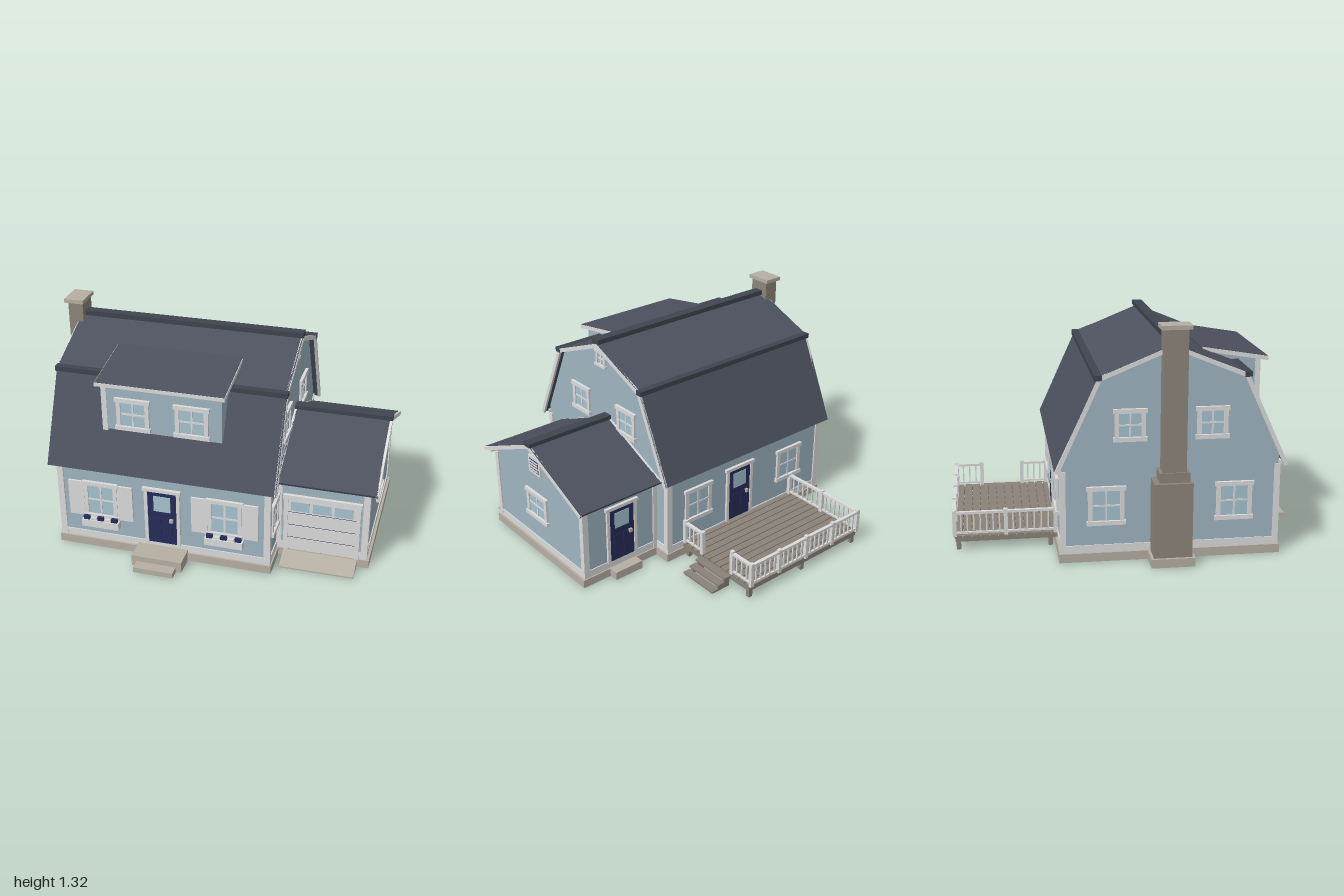
import * as THREE from 'three';

const mat = (name, color) => {
  const m = new THREE.MeshStandardMaterial({ color });
  m.name = name;
  return m;
};
const siding = mat('blue siding', 0x9fb6c2), trim = mat('white trim', 0xdcdcdc), roofing = mat('slate roof', 0x4d515e),
  capping = mat('dark ridge', 0x3f444f), navy = mat('navy paint', 0x262d59), glass = mat('window glass', 0xa6c3d0),
  stone = mat('pale stone', 0xb6afa3), brick = mat('chimney stone', 0x8c857a), wood = mat('deck wood', 0x8b8379);

// box from its limits
function box(parent, name, m, x0, x1, y0, y1, z0, z1) {
  const mesh = new THREE.Mesh(new THREE.BoxGeometry(x1 - x0, y1 - y0, z1 - z0), m);
  mesh.position.set((x0 + x1) / 2, (y0 + y1) / 2, (z0 + z1) / 2);
  mesh.name = name;
  parent.add(mesh);
  return mesh;
}
// prism with a [z, y] outline running along x
function prism(parent, name, m, pts, x0, x1) {
  const shape = new THREE.Shape(pts.map(p => new THREE.Vector2(p[0], p[1])));
  const geo = new THREE.ExtrudeGeometry(shape, { depth: x1 - x0, bevelEnabled: false });
  geo.rotateY(-Math.PI / 2).translate(x1, 0, 0);
  const mesh = new THREE.Mesh(geo, m);
  mesh.name = name;
  parent.add(mesh);
}
// polyline moved inward (downward) by t with mitred corners; points run from back to front
function inset(pts, t) {
  const normal = (a, b) => new THREE.Vector2(b[1] - a[1], a[0] - b[0]).normalize();
  return pts.map((p, i) => {
    const n1 = normal(pts[Math.max(i - 1, 0)], pts[Math.max(i, 1)]);
    const n2 = normal(pts[Math.min(i, pts.length - 2)], pts[Math.min(i + 1, pts.length - 1)]);
    const n = n1.clone().add(n2);
    n.multiplyScalar(t / (1 + n1.dot(n2)));
    return [p[0] + n.x, p[1] + n.y];
  });
}
// roof skin with white rake boards on both ends
function roof(parent, name, pts, x0, x1) {
  const band = t => [...pts, ...inset(pts, t).reverse()];
  prism(parent, name, roofing, band(0.016), x0, x1);
  for (const [a, b] of [[x0 - 0.003, x0 + 0.012], [x1 - 0.012, x1 + 0.003]])
    prism(parent, name + 'RakeBoard', trim, band(0.024), a, b);
}
// wall fitting group, built facing +z
function fitting(parent, name, x, y, z, turn = 0) {
  const g = new THREE.Group();
  g.name = name;
  g.position.set(x, y, z);
  g.rotation.y = turn;
  parent.add(g);
  return g;
}
function casing(g, w, h, f, d) {
  for (const s of [-1, 1]) box(g, 'sideCasing', trim, s * (w - f) / 2 - f / 2, s * (w - f) / 2 + f / 2, -h / 2, h / 2, 0, d);
  box(g, 'headCasing', trim, -w / 2 - 0.008, w / 2 + 0.008, h / 2 - f, h / 2, 0, d + 0.005);
}
function windowUnit(parent, x, y, z, w, h, turn = 0) {
  const g = fitting(parent, 'window', x, y, z, turn), f = w > 0.12 ? 0.024 : 0.015;
  box(g, 'glass', glass, -w / 2 + f, w / 2 - f, -h / 2 + f, h / 2 - f, 0, 0.005);
  casing(g, w, h, f, 0.013);
  box(g, 'sill', trim, -w / 2 - 0.008, w / 2 + 0.008, -h / 2, -h / 2 + f, 0, 0.02);
  box(g, 'uprightBar', trim, -0.005, 0.005, -h / 2 + f, h / 2 - f, 0, 0.009);
  box(g, 'crossBar', trim, -w / 2 + f, w / 2 - f, -0.005, 0.005, 0, 0.009);
  return g;
}
function doorUnit(parent, x, z, turn = 0) {
  const g = fitting(parent, 'door', x, 0.28, z, turn);
  box(g, 'doorLeaf', navy, -0.088, 0.088, -0.18, 0.165, 0, 0.008);
  box(g, 'doorGlass', glass, -0.05, 0.05, 0.035, 0.135, 0, 0.012);
  for (const s of [-1, 1]) box(g, 'doorPanel', navy, s * 0.035 - 0.025, s * 0.035 + 0.025, -0.15, -0.01, 0, 0.012);
  box(g, 'knob', stone, 0.045, 0.065, -0.025, -0.005, 0, 0.025);
  const c = fitting(g, 'doorCasing', 0, 0, 0);
  casing(c, 0.212, 0.37, 0.02, 0.014);
}

export function createModel() {
  const house = new THREE.Group();
  house.name = 'house';
  const R = Math.PI / 2;

  // foundations
  box(house, 'mainFoundation', stone, -0.855, 0.425, 0.01, 0.06, -0.42, 0.815);
  box(house, 'garageFoundation', stone, 0.42, 0.953, 0.01, 0.06, -0.315, 0.62);

  // main house and garage bodies
  const gambrel = [[-0.443, 0.54], [-0.207, 1.055], [0.197, 1.22], [0.6, 1.055], [0.836, 0.54]];
  const gable = [[-0.358, 0.53], [0.155, 0.757], [0.668, 0.53]];
  const g = inset(gambrel, 0.014), k = inset(gable, 0.014);
  prism(house, 'mainWalls', siding, [[-0.405, 0.06], [-0.405, 0.585], g[1], g[2], g[3], [0.798, 0.585], [0.798, 0.06]], -0.84, 0.41);
  prism(house, 'garageWalls', siding, [[-0.3, 0.06], [-0.3, 0.54], k[1], [0.607, 0.54], [0.607, 0.06]], 0.4, 0.933);
  roof(house, 'mainRoof', gambrel, -0.888, 0.452);
  roof(house, 'garageRoof', gable, 0.412, 0.982);

  // dark caps along ridges and roof breaks
  box(house, 'mainRidgeCap', capping, -0.89, 0.457, 1.222, 1.25, 0.167, 0.227);
  for (const z of [-0.207, 0.6]) box(house, 'roofBreakCap', capping, -0.892, 0.457, 1.036, 1.064, z - 0.021, z + 0.021);
  box(house, 'garageRidgeCap', capping, 0.412, 0.987, 0.745, 0.77, 0.125, 0.185);

  // base boards, corner boards and friezes
  const skirt = (x0, x1, z0, z1, top) => {
    box(house, 'baseBoard', trim, x0 - 0.006, x1 + 0.006, 0.06, 0.103, z0 - 0.006, z1 + 0.006);
    for (const x of [x0, x1]) for (const z of [z0, z1]) {
      const sx = x === x0 ? 1 : -1, sz = z === z0 ? 1 : -1;
      box(house, 'cornerBoard', trim, x + sx * 0.011 - 0.0185, x + sx * 0.011 + 0.0185, 0.06, top,
        z + sz * 0.008 - 0.0165, z + sz * 0.008 + 0.0165);
    }
  };
  skirt(-0.84, 0.41, -0.405, 0.798, 0.53);
  skirt(0.41, 0.933, -0.3, 0.607, 0.51);
  for (const [z0, z1] of [[-0.418, -0.404], [0.797, 0.812]]) box(house, 'mainFrieze', trim, -0.85, 0.42, 0.53, 0.55, z0, z1);
  for (const [z0, z1] of [[-0.345, -0.299], [0.606, 0.655]]) box(house, 'garageSoffit', trim, 0.415, 0.97, 0.512, 0.532, z0, z1);

  // front dormer
  prism(house, 'dormerWalls', siding, [[0.5, 0.78], [0.42, 1.125], [0.745, 1.062], [0.745, 0.78]], -0.565, 0.125);
  prism(house, 'dormerRoof', roofing, [[0.4, 1.13], [0.4, 1.146], [0.787, 1.082], [0.787, 1.066]], -0.585, 0.15);
  for (const [a, b] of [[-0.588, -0.573], [0.138, 0.153]])
    prism(house, 'dormerRakeBoard', trim, [[0.41, 1.118], [0.41, 1.142], [0.787, 1.08], [0.787, 1.056]], a, b);
  box(house, 'dormerFascia', trim, -0.588, 0.153, 1.06, 1.081, 0.778, 0.79);
  box(house, 'dormerCornerBoard', trim, -0.568, -0.537, 0.77, 1.062, 0.72, 0.75);
  for (const x of [-0.385, -0.045]) windowUnit(house, x, 0.888, 0.745, 0.19, 0.195);

  // front windows with shutters and flower boxes
  for (const x of [-0.587, 0.153]) {
    windowUnit(house, x, 0.33, 0.798, 0.2, 0.24);
    for (const s of [-1, 1]) box(house, 'shutter', trim, x + s * 0.148 - 0.047, x + s * 0.148 + 0.047, 0.215, 0.442, 0.798, 0.81);
    box(house, 'flowerBox', trim, x - 0.112, x + 0.112, 0.16, 0.205, 0.798, 0.842);
    for (let i = 0; i < 5; i++) {
      const fx = x + (i - 2) * 0.042;
      box(house, 'flowers', i % 2 ? trim : navy, fx - 0.018, fx + 0.018, 0.2, i % 2 ? 0.218 : 0.228, 0.808, 0.836);
    }
  }

  // gable windows
  for (const z of [0.42, -0.03]) {
    windowUnit(house, 0.41, 0.78, z, 0.17, 0.18, R);
    windowUnit(house, -0.84, 0.78, z, 0.17, 0.18, -R);
  }
  windowUnit(house, 0.41, 1.115, 0.2, 0.09, 0.1, R);
  windowUnit(house, 0.41, 0.328, 0.685, 0.15, 0.205, R);
  for (const z of [-0.16, 0.55]) windowUnit(house, -0.84, 0.33, z, 0.2, 0.22, -R);
  windowUnit(house, 0.933, 0.328, 0.16, 0.21, 0.18, R);

  // louvred garage vent
  const vent = fitting(house, 'garageVent', 0.933, 0.6, 0.16, R);
  box(vent, 'ventFrame', trim, -0.06, 0.06, -0.055, 0.055, 0, 0.01);
  box(vent, 'ventOpening', navy, -0.043, 0.043, -0.038, 0.038, 0, 0.012);
  for (let i = 0; i < 4; i++) box(vent, 'louvre', trim, -0.043, 0.043, -0.031 + i * 0.018, -0.022 + i * 0.018, 0, 0.016);

  // doors and back windows
  doorUnit(house, -0.215, 0.798);
  doorUnit(house, -0.15, -0.405, Math.PI);
  doorUnit(house, 0.67, -0.3, Math.PI);
  for (const x of [-0.57, 0.18]) windowUnit(house, x, 0.33, -0.405, 0.2, 0.22, Math.PI);

  // garage door and ramp
  const gd = fitting(house, 'garageDoor', 0.672, 0, 0.607);
  box(gd, 'doorSeams', navy, -0.2, 0.2, 0.06, 0.403, 0, 0.008);
  for (let i = 0; i < 4; i++) box(gd, 'doorSection', trim, -0.197, 0.197, 0.063 + i * 0.085, 0.142 + i * 0.085, 0, 0.012);
  for (const x of [-0.125, 0, 0.125]) box(gd, 'doorPane', glass, x - 0.053, x + 0.053, 0.329, 0.388, 0, 0.016);
  for (const s of [-1, 1]) box(gd, 'doorCasing', trim, s * 0.208 - 0.012, s * 0.208 + 0.012, 0.06, 0.41, 0, 0.016);
  box(gd, 'doorHeader', trim, -0.226, 0.226, 0.403, 0.43, 0, 0.02);
  prism(house, 'ramp', stone, [[0.61, 0.01], [0.61, 0.06], [0.74, 0.018], [0.74, 0.01]], 0.455, 0.885);

  // stone steps
  box(house, 'frontStepUpper', stone, -0.365, -0.067, 0.01, 0.077, 0.8, 0.937);
  box(house, 'frontStepLower', stone, -0.335, -0.1, 0.01, 0.042, 0.9, 1.0);
  box(house, 'backStep', stone, -0.27, -0.03, 0.01, 0.06, -0.49, -0.41);
  box(house, 'garageBackStep', stone, 0.575, 0.765, 0.01, 0.06, -0.37, -0.3);

  // chimney
  box(house, 'chimneyPlinth', stone, -0.99, -0.84, 0.01, 0.06, 0.07, 0.31);
  box(house, 'chimneyBase', brick, -0.975, -0.83, 0.06, 0.48, 0.085, 0.295);
  box(house, 'chimneyShoulder', brick, -0.952, -0.83, 0.48, 0.535, 0.115, 0.28);
  box(house, 'chimneyStack', brick, -0.945, -0.855, 0.535, 1.312, 0.133, 0.262);
  box(house, 'chimneyCap', stone, -0.962, -0.845, 1.31, 1.333, 0.115, 0.28);

  // deck floor and frame
  const deck = fitting(house, 'deck', 0, 0, 0);
  for (let i = 0; i < 12; i++) box(deck, 'plank', wood, -0.595, 0.295, 0.08, 0.094, -0.99 + i * 0.05, -0.946 + i * 0.05);
  for (let i = 0; i < 10; i++) box(deck, 'joist', wood, -0.59 + i * 0.0965, -0.572 + i * 0.0965, 0.058, 0.08, -0.985, -0.41);
  for (const z of [-0.985, -0.43]) box(deck, 'beam', wood, -0.59, 0.29, 0.058, 0.08, z, z + 0.018);
  for (const x of [-0.585, -0.15, 0.265]) for (const z of [-0.98, -0.46]) box(deck, 'footing', wood, x, x + 0.025, 0.01, 0.06, z, z + 0.025);

  // deck railing: sections between two points in plan
  const post = (x, z) => box(deck, 'railPost', trim, x - 0.011, x + 0.011, 0.09, 0.245, z - 0.011, z + 0.011);
  const rail = (x0, z0, x1, z1) => {
    post(x0, z0);
    post(x1, z1);
    const len = Math.hypot(x1 - x0, z1 - z0), n = Math.round(len / 0.038);
    const s = fitting(deck, 'railing', x0, 0, z0, Math.atan2(z0 - z1, x1 - x0));
    box(s, 'topRail', trim, 0, len, 0.222, 0.236, -0.01, 0.01);
    box(s, 'bottomRail', trim, 0, len, 0.105, 0.116, -0.006, 0.006);
    for (let i = 1; i < n; i++) box(s, 'baluster', trim, i * len / n - 0.004, i * len / n + 0.004, 0.11, 0.225, -0.004, 0.004);
  };
  const px = [-0.588, -0.369, -0.15, 0.069, 0.285];
  for (let i = 0; i < 4; i++) rail(px[i], -0.988, px[i + 1], -0.988);
  rail(px[0], -0.988, px[0], -0.7);
  rail(px[0], -0.7, px[0], -0.42);
  rail(px[4], -0.988, px[4], -0.83);
  rail(px[4], -0.575, px[4], -0.42);

  // deck stairs
  for (let i = 0; i < 3; i++) {
    const x = 0.295 + i * 0.045, y = 0.08 - i * 0.025;
    box(deck, 'stairTread', wood, x, x + 0.048, y - 0.012, y, -0.83, -0.577);
    for (const z of [-0.82, -0.6]) box(deck, 'stairStringer', wood, x, x + 0.042, 0.008, y - 0.01, z, z + 0.015);
  }
  return house;
}
